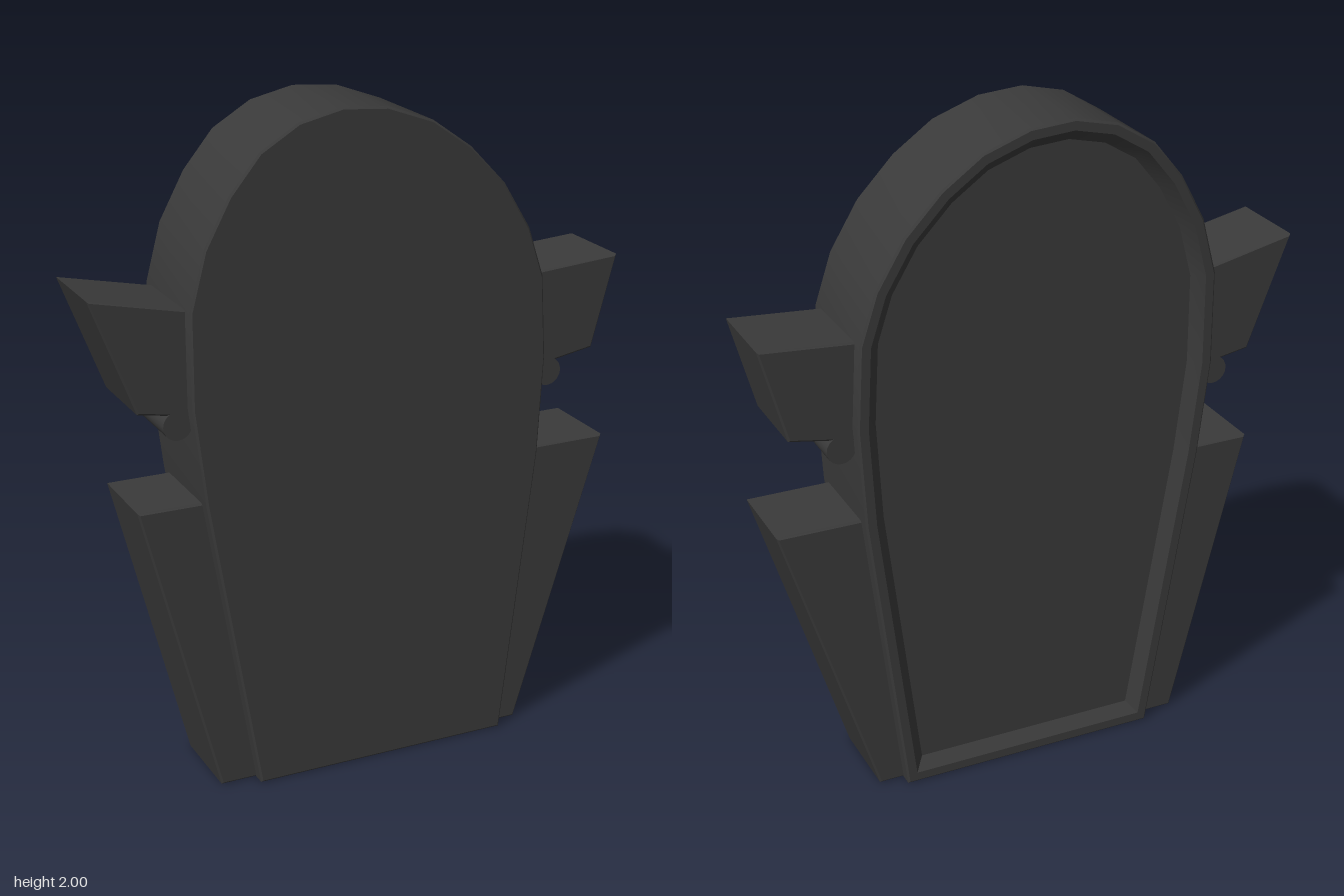
import * as THREE from 'three';
import { toCreasedNormals } from 'three/addons/utils/BufferGeometryUtils.js';

const material = new THREE.MeshStandardMaterial({ color: 0x3a3a3a });

// Tombstone outline, counter-clockwise seen from the front
const outline = [
  [-0.365, 0], [0.44, 0], [0.545, 0.9], [0.56, 1.2], [0.545, 1.45], [0.495, 1.6],
  [0.41, 1.74], [0.3, 1.855], [0.18, 1.94], [0.04, 1.99], [-0.095, 2], [-0.225, 1.97],
  [-0.34, 1.9], [-0.43, 1.79], [-0.505, 1.65], [-0.55, 1.48], [-0.55, 1.2], [-0.515, 0.91],
].map(([x, y]) => new THREE.Vector2(x, y));

// Moves every edge of an outline inwards by d
function inset(points, d) {
  const n = points.length;
  return points.map((p, i) => {
    const a = p.clone().sub(points[(i + n - 1) % n]).normalize();
    const b = points[(i + 1) % n].clone().sub(p).normalize();
    const normal = new THREE.Vector2(-a.y - b.y, a.x + b.x);
    return p.clone().addScaledVector(normal, d / (1 + a.dot(b)));
  });
}

// Joins inset outlines at given depths, from the front face to the back
function loftRings(rings) {
  const n = outline.length;
  const position = [];
  const index = [];
  for (const [d, z] of rings) for (const p of inset(outline, d)) position.push(p.x, p.y, z);
  for (let r = 0; r < rings.length - 1; r++) {
    for (let i = 0; i < n; i++) {
      const a = r * n + i, b = r * n + (i + 1) % n;
      index.push(a, a + n, b, b, a + n, b + n);
    }
  }
  const last = (rings.length - 1) * n;
  for (let i = 1; i < n - 1; i++) {
    index.push(0, i, i + 1);
    index.push(last, last + i + 1, last + i);
  }
  const geometry = new THREE.BufferGeometry();
  geometry.setAttribute('position', new THREE.Float32BufferAttribute(position, 3));
  geometry.setIndex(index);
  return toCreasedNormals(geometry, 0.45);
}

// Flat plate with slightly softened edges, centred on z = 0
function plate(points, depth, bevel = 0.006) {
  const shape = new THREE.Shape(points.map(([x, y]) => new THREE.Vector2(x, y)));
  const geometry = new THREE.ExtrudeGeometry(shape, {
    depth: depth - 2 * bevel, bevelEnabled: true, bevelSegments: 1,
    bevelSize: bevel, bevelThickness: bevel, bevelOffset: -bevel,
  });
  return geometry.translate(0, 0, bevel - depth / 2);
}

export function createModel() {
  const group = new THREE.Group();
  const add = (name, geometry) => {
    const mesh = new THREE.Mesh(geometry, material);
    mesh.name = name;
    group.add(mesh);
    return mesh;
  };

  // Main slab: softened front edge, sloping recess in the back
  add('body', loftRings([
    [0.006, 0.173], [0, 0.167], [0, -0.167], [0.006, -0.173],
    [0.032, -0.173], [0.065, -0.14],
  ]));

  // Side wedges, widening towards the top
  add('rightShoulder', plate([[-0.475, 0], [-0.34, 0], [-0.48, 0.91], [-0.705, 0.91]], 0.265));
  add('leftShoulder', plate([[0.41, 0], [0.515, 0], [0.795, 0.905], [0.51, 0.905]], 0.265));

  // Ears, their inner ends sunk into the slab
  add('rightEar', plate([[-0.825, 1.54], [-0.695, 1.2], [-0.61, 1.185], [-0.52, 1.17], [-0.52, 1.475]], 0.265));
  add('leftEar', plate([[0.82, 1.472], [0.52, 1.45], [0.52, 1.15], [0.62, 1.17], [0.745, 1.192]], 0.265));

  // Round rods hanging under the ears
  for (const [name, x, y] of [['rightEarring', -0.58, 1.152], ['leftEarring', 0.595, 1.138]]) {
    const rod = add(name, new THREE.CylinderGeometry(0.043, 0.043, 0.265, 20).rotateX(Math.PI / 2));
    rod.position.set(x, y, 0);
  }
  return group;
}
